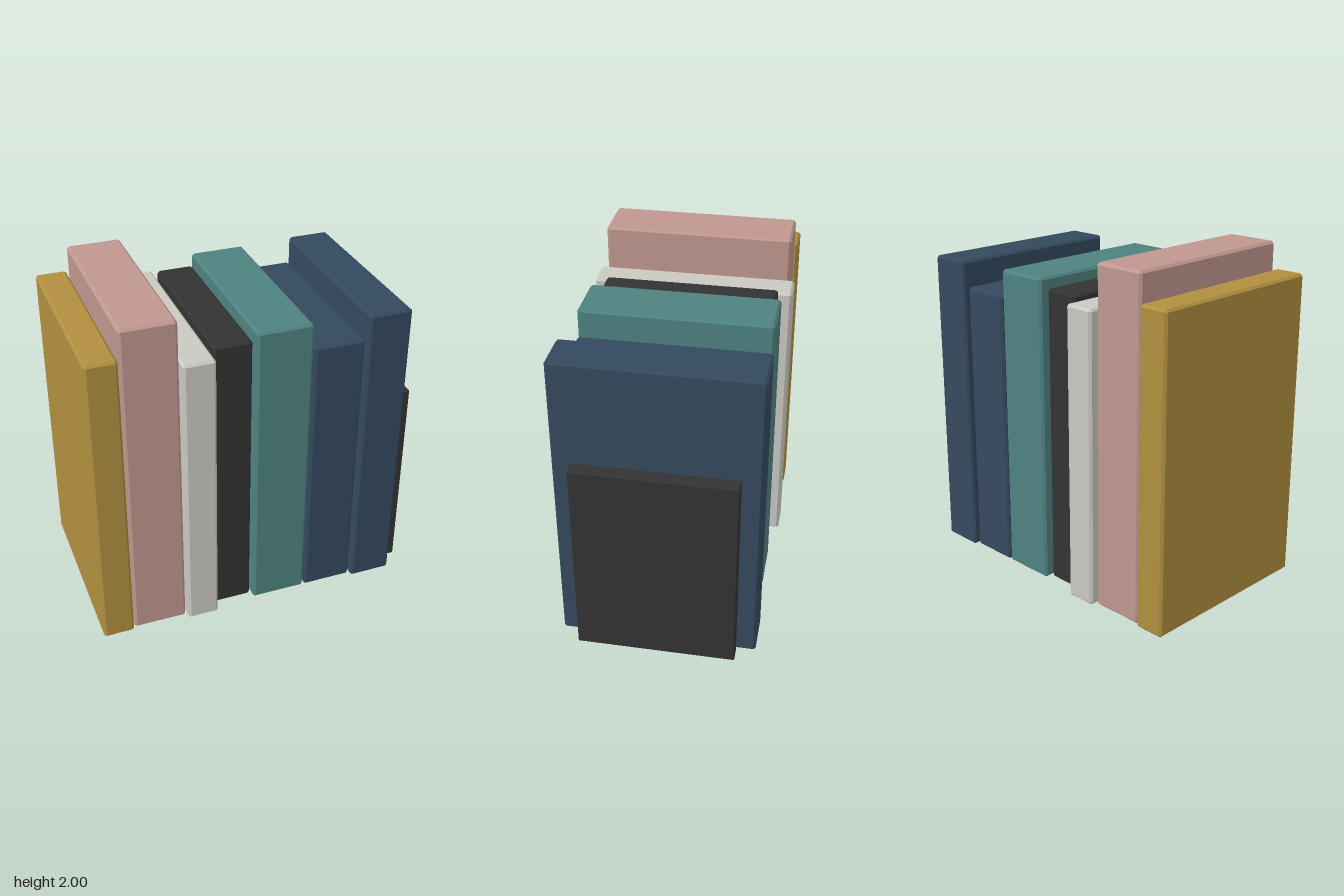
import * as THREE from 'three';
import { ConvexGeometry } from 'three/addons/geometries/ConvexGeometry.js';

// Box with a single flat chamfer of size b along every edge
function chamferedBox(w, h, d, b) {
  const points = [];
  for (const sx of [-1, 1]) for (const sy of [-1, 1]) for (const sz of [-1, 1]) {
    const x = sx * w / 2, y = sy * h / 2, z = sz * d / 2;
    points.push(
      new THREE.Vector3(x, y - sy * b, z - sz * b),
      new THREE.Vector3(x - sx * b, y, z - sz * b),
      new THREE.Vector3(x - sx * b, y - sy * b, z)
    );
  }
  return new ConvexGeometry(points);
}

function material(name, color) {
  const m = new THREE.MeshStandardMaterial({ color });
  m.name = name;
  return m;
}

export function createModel() {
  const group = new THREE.Group();
  group.name = 'bookRow';

  const gold = material('gold', 0xb08f3f);
  const pink = material('dustyPink', 0xc0978f);
  const grey = material('paleGrey', 0xc9c8c1);
  const black = material('charcoal', 0x333333);
  const teal = material('teal', 0x4e8280);
  const blue = material('navyBlue', 0x34495e);

  // Books from right to left: name, x start, x end, height, depth, chamfer, colour
  const books = [
    ['goldBook', -0.98, -0.798, 1.84, 1.15, 0.014, gold],
    ['tallPinkBook', -0.787, -0.471, 2.0, 1.11, 0.014, pink],
    ['greyBook', -0.461, -0.275, 1.75, 1.18, 0.014, grey],
    ['charcoalBook', -0.263, -0.041, 1.78, 1.02, 0.014, black],
    ['tealBook', -0.03, 0.298, 1.84, 1.1, 0.014, teal],
    ['shortBlueBook', 0.309, 0.61, 1.685, 1.1, 0.014, blue],
    ['blueBook', 0.62, 0.876, 1.84, 1.15, 0.014, blue],
    ['smallCharcoalBook', 0.886, 0.974, 1.235, 0.926, 0.006, black],
  ];
  for (const [name, x0, x1, height, depth, chamfer, mat] of books) {
    const mesh = new THREE.Mesh(chamferedBox(x1 - x0, height, depth, chamfer), mat);
    mesh.name = name;
    mesh.position.set((x0 + x1) / 2, height / 2, 0);
    group.add(mesh);
  }
  return group;
}
